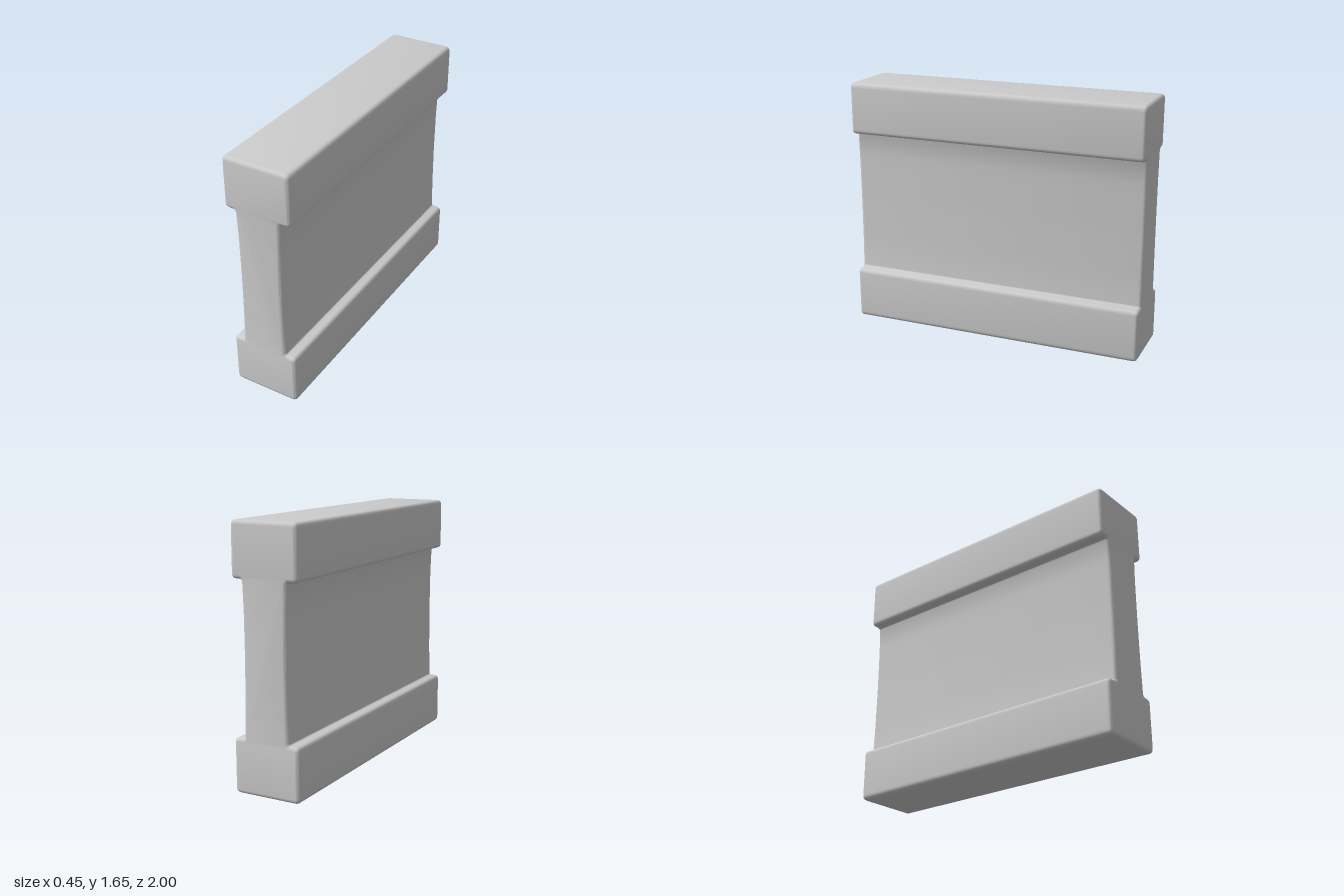
import * as THREE from 'three';
import { toCreasedNormals } from 'three/addons/utils/BufferGeometryUtils.js';

// Closed outline through [x, y, cornerRadius] points, each corner rounded
function roundedShape(points) {
  const shape = new THREE.Shape();
  const n = points.length;
  const at = (i) => new THREE.Vector2(points[(i + n) % n][0], points[(i + n) % n][1]);
  for (let i = 0; i < n; i++) {
    const c = at(i), r = points[i][2];
    const a = at(i - 1).sub(c).setLength(r).add(c);
    const b = at(i + 1).sub(c).setLength(r).add(c);
    if (i === 0) shape.moveTo(a.x, a.y);
    else shape.lineTo(a.x, a.y);
    shape.quadraticCurveTo(c.x, c.y, b.x, b.y);
  }
  shape.closePath();
  return shape;
}

export function createModel() {
  const group = new THREE.Group();
  group.name = 'wallSegment';

  // Right half of the I-shaped section: base rail, slightly hollow web, top rail
  const half = [
    [0.226, 0, 0.035], [0.226, 0.347, 0.03],
    [0.156, 0.352, 0.01], [0.15, 0.56, 0.04], [0.147, 0.83, 0.04], [0.149, 1.12, 0.04], [0.156, 1.305, 0.015],
    [0.226, 1.308, 0.03], [0.226, 1.65, 0.035],
  ];
  const mirrored = half.map(([x, y, r]) => [-x, y, r]).reverse();

  // Section swept along z, with softened end edges
  const bevel = 0.025;
  const geometry = new THREE.ExtrudeGeometry(roundedShape([...half, ...mirrored]), {
    depth: 2 - 2 * bevel,
    curveSegments: 5,
    bevelEnabled: true,
    bevelThickness: bevel,
    bevelSize: bevel,
    bevelOffset: -bevel,
    bevelSegments: 4,
  });
  geometry.translate(0, 0, -1 + bevel);

  const wall = new THREE.Mesh(
    toCreasedNormals(geometry, 0.5),
    new THREE.MeshStandardMaterial({ color: 0xcccccc })
  );
  wall.name = 'railedWall';
  group.add(wall);
  return group;
}
